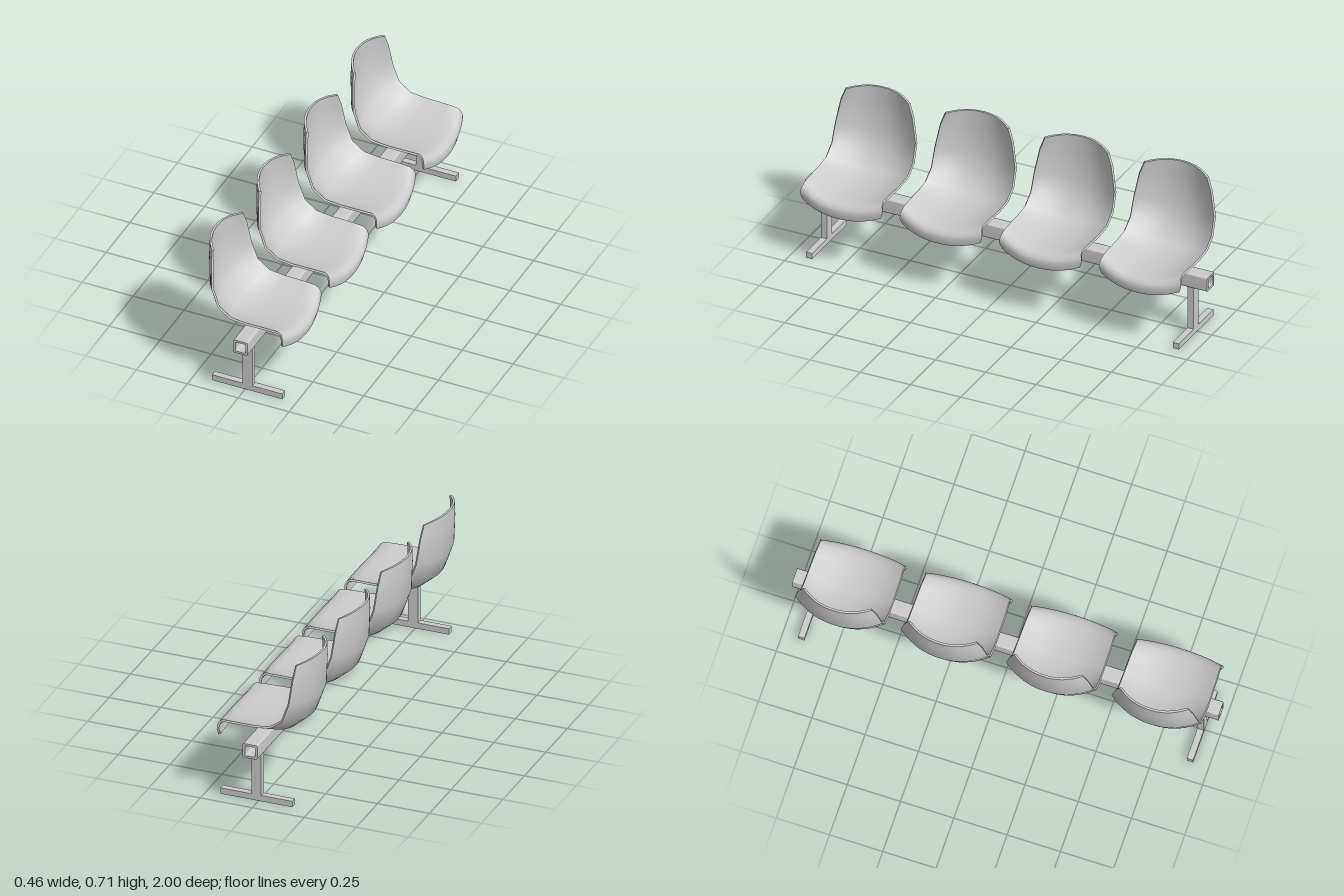
import * as THREE from 'three';
import { toCreasedNormals } from 'three/addons/utils/BufferGeometryUtils.js';

const grey = new THREE.MeshStandardMaterial({ color: 0xcccccc });

function addMesh(parent, name, geometry, x = 0, y = 0, z = 0) {
  const mesh = new THREE.Mesh(geometry, grey);
  mesh.name = name;
  mesh.position.set(x, y, z);
  parent.add(mesh);
  return mesh;
}

// Rounded square outline, used for the hollow beam
function roundedSquare(path, half, r) {
  const k = half - r;
  path.moveTo(-k, -half);
  path.absarc(k, -k, r, -Math.PI / 2, 0);
  path.absarc(k, k, r, 0, Math.PI / 2);
  path.absarc(-k, k, r, Math.PI / 2, Math.PI);
  path.absarc(-k, -k, r, Math.PI, Math.PI * 1.5);
  path.closePath();
  return path;
}

// Seat rows from top of back to front lip: centre x, y, rim x, y, half width
const ROWS = [
  [-0.228, 0.710, -0.168, 0.695, 0.158],
  [-0.227, 0.630, -0.161, 0.635, 0.180],
  [-0.218, 0.497, -0.149, 0.515, 0.202],
  [-0.181, 0.391, -0.118, 0.428, 0.204],
  [-0.117, 0.336, -0.060, 0.385, 0.204],
  [0.000, 0.327, 0.015, 0.376, 0.203],
  [0.120, 0.325, 0.120, 0.375, 0.201],
  [0.175, 0.326, 0.168, 0.373, 0.198],
  [0.204, 0.323, 0.182, 0.362, 0.199],
  [0.219, 0.314, 0.188, 0.348, 0.202],
  [0.225, 0.298, 0.190, 0.328, 0.203],
  [0.217, 0.265, 0.185, 0.300, 0.192],
];

// Curved shell of constant thickness swept through the rows
function seatGeometry(thickness = 0.010, cols = 20) {
  const last = ROWS.length - 1;
  const point = (i, j) => {
    const [cx, cy, ex, ey, hw] = ROWS[i];
    const s = (j / cols) * 2 - 1;
    const lift = Math.abs(s) ** 2.2;
    return new THREE.Vector3(cx + (ex - cx) * lift, cy + (ey - cy) * lift, s * hw);
  };
  const offsetPoint = (i, j, d) => {
    const along = point(Math.min(i + 1, last), j).sub(point(Math.max(i - 1, 0), j));
    const across = point(i, Math.min(j + 1, cols)).sub(point(i, Math.max(j - 1, 0)));
    return point(i, j).addScaledVector(across.cross(along).normalize(), d);
  };

  const positions = [], index = [];
  const ring = 2 * (cols + 1);
  for (let i = 0; i <= last; i++) {
    for (let k = 0; k < ring; k++) {
      const inner = k <= cols;
      const p = offsetPoint(i, inner ? k : ring - 1 - k, (inner ? 1 : -1) * thickness / 2);
      positions.push(p.x, p.y, p.z);
    }
  }
  const quad = (a, b, c, d) => index.push(a, b, c, a, c, d);
  for (let i = 0; i < last; i++) {
    for (let k = 0; k < ring; k++) {
      const a = i * ring, b = a + ring, n = (k + 1) % ring;
      quad(a + k, a + n, b + n, b + k);
    }
  }
  // Close the top edge and the lip edge
  const base = last * ring;
  for (let j = 0; j < cols; j++) {
    const o = ring - 1 - j;
    quad(j, o, o - 1, j + 1);
    quad(base + j, base + j + 1, base + o - 1, base + o);
  }
  const geometry = new THREE.BufferGeometry();
  geometry.setAttribute('position', new THREE.Float32BufferAttribute(positions, 3));
  geometry.setIndex(index);
  return toCreasedNormals(geometry, 1.0);
}

export function createModel() {
  const model = new THREE.Group();
  model.name = 'rowSeating';

  // Hollow square beam
  const outline = roundedSquare(new THREE.Shape(), 0.035, 0.006);
  outline.holes.push(roundedSquare(new THREE.Path(), 0.024, 0.003));
  const beam = new THREE.ExtrudeGeometry(outline, { depth: 2, bevelEnabled: false, curveSegments: 4 });
  beam.translate(0, 0, -1);
  addMesh(model, 'beam', toCreasedNormals(beam, 0.6), 0.011, 0.278, 0);

  // T-shaped legs
  for (const side of [-1, 1]) {
    const leg = new THREE.Group();
    leg.name = side > 0 ? 'frontLeg' : 'rearLeg';
    leg.position.z = side * 0.912;
    addMesh(leg, 'post', new THREE.BoxGeometry(0.048, 0.215, 0.03), 0.011, 0.1365, 0);
    addMesh(leg, 'foot', new THREE.BoxGeometry(0.345, 0.029, 0.03), 0.01, 0.0145, 0);
    model.add(leg);
  }

  // Four moulded seats facing +x
  const shell = seatGeometry();
  for (let i = 0; i < 4; i++) {
    addMesh(model, `seat${i + 1}`, shell, 0, 0, -0.739 + i * 0.495);
  }
  return model;
}
